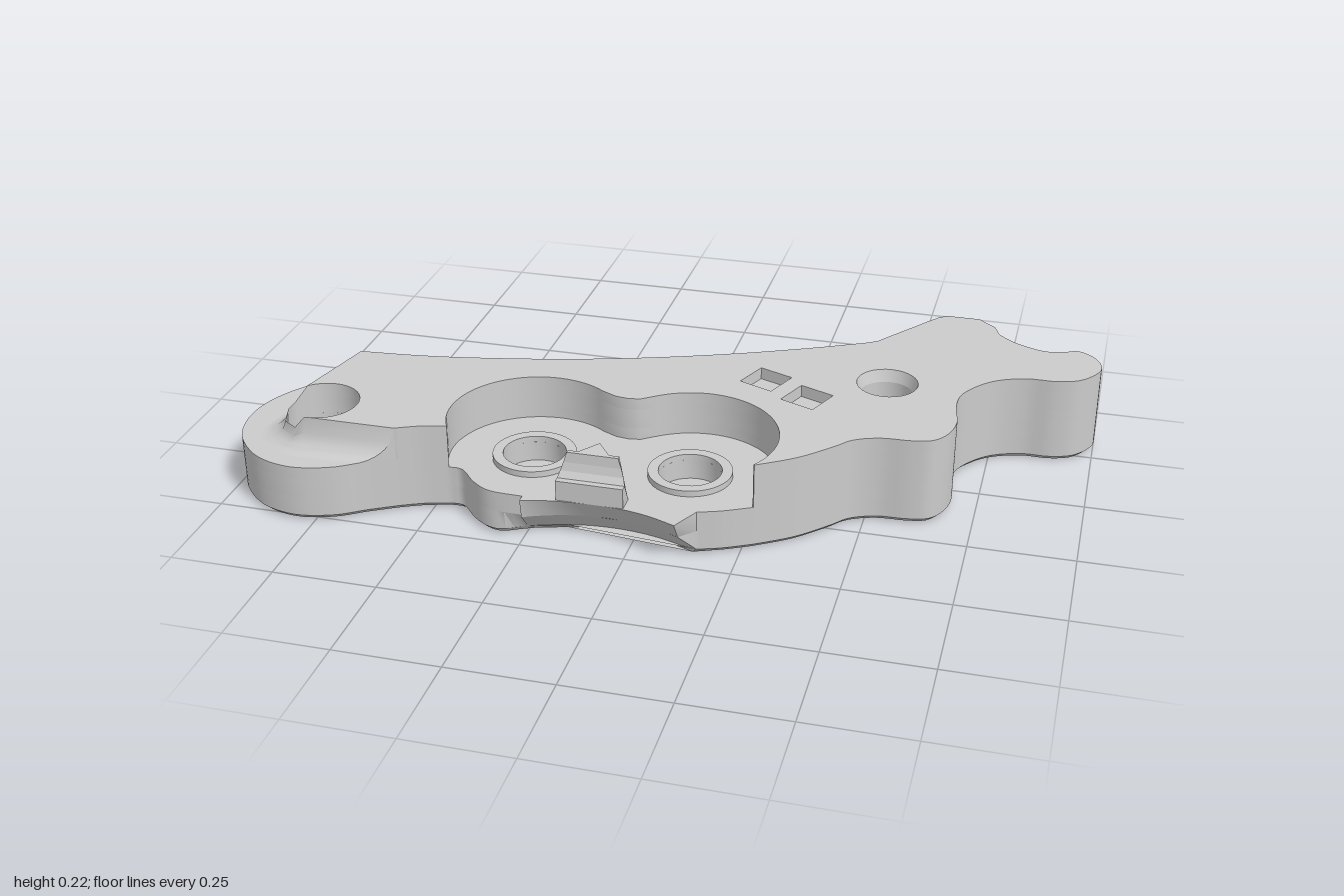
import * as THREE from 'three';
import { toCreasedNormals } from 'three/addons/utils/BufferGeometryUtils.js';

const V = (x, z) => new THREE.Vector2(x, z);
const grey = () => new THREE.MeshStandardMaterial({ color: 0xcccccc, side: THREE.DoubleSide });

// Smooth run through [x, z] pairs
const run = (pts) => new THREE.SplineCurve(pts.map(p => V(...p))).getPoints((pts.length - 1) * 5);

const arc = (cx, cz, r, a, b, n = 32) => Array.from({ length: n + 1 }, (_, i) => {
  const t = a + (b - a) * i / n;
  return V(cx + r * Math.cos(t), cz + r * Math.sin(t));
});

// Join runs into a closed loop without repeated points
const join = (...runs) => runs.flat().filter((p, i, all) => p.distanceTo(all[(i + 1) % all.length]) > 1e-4);

// Outline sections
const endCap = run([[-0.81, 0.055], [-0.87, 0.073], [-0.93, 0.12], [-0.98, 0.2], [-1, 0.28], [-0.993, 0.36],
  [-0.96, 0.43], [-0.89, 0.495], [-0.8, 0.52], [-0.71, 0.5], [-0.64, 0.457], [-0.575, 0.42]]);
const neck = run([[-0.575, 0.42], [-0.52, 0.395], [-0.46, 0.378]]);
const frontLobe = run([[-0.46, 0.378], [-0.425, 0.382], [-0.38, 0.43], [-0.33, 0.46], [-0.25, 0.465]]);
const frontArc = run([[-0.25, 0.485], [-0.17, 0.468], [-0.06, 0.463], [0.04, 0.476], [0.12, 0.505]]);
const frontSide = run([[0.155, 0.435], [0.21, 0.415], [0.275, 0.382]]);
const tail = run([[0.275, 0.382], [0.36, 0.325], [0.43, 0.255], [0.47, 0.21], [0.53, 0.185], [0.6, 0.18], [0.65, 0.165],
  [0.68, 0.12], [0.69, 0.06], [0.68, 0], [0.68, -0.07], [0.71, -0.13], [0.76, -0.18], [0.83, -0.207], [0.9, -0.21],
  [0.96, -0.235], [1, -0.3], [0.985, -0.36], [0.94, -0.395], [0.9, -0.38], [0.85, -0.375], [0.78, -0.405], [0.735, -0.445]]);
const tailTip = [V(0.72, -0.485), V(0.675, -0.525), V(0.6, -0.525), V(0.575, -0.515), V(0.555, -0.49), V(0.44, -0.33)];
const back = run([[0.42, -0.315], [0.28, -0.245], [0.1, -0.165], [-0.1, -0.09], [-0.3, -0.03], [-0.5, 0.015], [-0.65, 0.04], [-0.81, 0.055]]);

// Two-lobed pocket wall and the edge of the stepped-down end
const pocket = [...arc(-0.28, 0.28, 0.205, 2.64, 5.35), V(-0.12, 0.134), V(-0.09, 0.138), V(-0.06, 0.134),
  ...arc(0.1, 0.27, 0.205, -2.21, 0.57)];
const stepEdge = [V(-0.81, 0.055), ...arc(-0.795, 0.33, 0.09, -2.4, 1.6), V(-0.575, 0.42)];

const fullLoop = join(endCap, neck, frontLobe, frontArc, frontSide, tail, tailTip, back);
const midLoop = join(endCap, neck, pocket, tail, tailTip, back);
const topLoop = join(stepEdge, neck, pocket, tail, tailTip, back);

const endHole = arc(-0.795, 0.33, 0.09, 0, Math.PI * 2).slice(1);
const tailHole = arc(0.5, -0.1, 0.065, 0, Math.PI * 2).slice(1);
const wells = [[-0.28, 0.28], [0.1, 0.275]];
const wellHoles = wells.map(([x, z]) => arc(x, z, 0.075, 0, Math.PI * 2).slice(1));
const squares = [[0.21, -0.045], [0.325, 0.025]].map(([x, z]) =>
  arc(x, z, 0.064, 0.39 + Math.PI / 4, 0.39 + Math.PI * 2.25, 4).slice(1));

// Plan loop with holes extruded from y0 to y1; rule(v) may move vertices
function slab(loop, holes, y0, y1, rule) {
  const flip = (pts) => pts.map(p => V(p.x, -p.y));
  const shape = new THREE.Shape(flip(loop));
  shape.holes = holes.map(h => new THREE.Path(flip(h)));
  const geo = new THREE.ExtrudeGeometry(shape, { depth: y1 - y0, bevelEnabled: false });
  geo.rotateX(-Math.PI / 2).translate(0, y0, 0);
  if (rule) {
    const pos = geo.attributes.position, v = new THREE.Vector3();
    for (let i = 0; i < pos.count; i++) {
      rule(v.fromBufferAttribute(pos, i));
      pos.setXYZ(i, v.x, v.y, v.z);
    }
  }
  return toCreasedNormals(geo, 0.55);
}

// Chamfer of the bottom edge, then the conical undercut along the front arc
function lowerRule(v) {
  if (v.y < 0.001) {
    const n = fullLoop.length;
    const i = fullLoop.findIndex(p => Math.hypot(p.x - v.x, p.y - v.z) < 1e-4);
    if (i >= 0) {
      const d = fullLoop[(i + 1) % n].clone().sub(fullLoop[(i + n - 1) % n]).normalize();
      v.x -= d.y * -0.012;
      v.z -= d.x * 0.012;
    }
  }
  if (v.x > -0.4 && v.x < 0.16 && v.z > 0.36) {
    const r = 0.39 + 0.08 * Math.max(0, 1 - v.y / 0.1);
    v.z = Math.min(v.z, 0.853 - Math.sqrt(r * r - (v.x + 0.06) ** 2));
  }
}

// Countersink of the tail hole
function sinkRule(v) {
  if (v.y > 0.21 && Math.hypot(v.x - 0.5, v.z + 0.1) < 0.07) {
    v.x = 0.5 + (v.x - 0.5) * 1.15;
    v.z = -0.1 + (v.z + 0.1) * 1.15;
  }
}

// Concave fillet between the step edge and the lowered end
function filletGeometry() {
  // inner x, z, outer x, z, top height
  const stations = [[-0.81, 0.055, -0.875, 0.078, 0.22], [-0.86, 0.27, -0.925, 0.28, 0.22],
    [-0.88, 0.3, -0.935, 0.33, 0.19], [-0.885, 0.33, -0.94, 0.36, 0.185], [-0.87, 0.38, -0.92, 0.42, 0.18],
    [-0.83, 0.413, -0.86, 0.46, 0.185], [-0.8, 0.42, -0.8, 0.475, 0.22], [-0.575, 0.42, -0.66, 0.47, 0.22]];
  const flat = (s) => [...s.slice(0, 4), 0.14];
  const rows = [flat(stations[0]), ...stations, flat(stations[7])];
  const pos = [], index = [], n = 8;
  rows.forEach(([ix, iz, ox, oz, h], r) => {
    pos.push(ix, 0.14, iz);
    for (let k = 0; k <= n; k++) {
      const t = k / n;
      pos.push(ix + (ox - ix) * t, 0.14 + (h - 0.14) * (1 - Math.sqrt(1 - (1 - t) ** 2)), iz + (oz - iz) * t);
    }
    if (r) for (let k = 0; k <= n; k++) {
      const a = (r - 1) * (n + 2) + k, b = a + n + 2;
      index.push(a, a + 1, b, b, a + 1, b + 1);
    }
  });
  const geo = new THREE.BufferGeometry();
  geo.setAttribute('position', new THREE.Float32BufferAttribute(pos, 3));
  geo.setIndex(index);
  return toCreasedNormals(geo, 0.6);
}

// Ramped foot of the catch, narrowing towards the top
function catchGeometry() {
  const profile = [[0.42, 0.11], [0.463, 0.11], [0.463, 0.16], [0.447, 0.16], [0.437, 0.175], [0.432, 0.195], [0.43, 0.22], [0.42, 0.22]];
  const geo = new THREE.ExtrudeGeometry(new THREE.Shape(profile.map(p => V(...p))), { depth: 0.16, bevelEnabled: false });
  geo.rotateY(-Math.PI / 2).translate(0.08, 0, 0);
  const pos = geo.attributes.position;
  for (let i = 0; i < pos.count; i++) {
    const narrow = 1 - Math.max(0, pos.getY(i) - 0.16) * 4;
    pos.setX(i, pos.getX(i) * narrow - 0.09);
  }
  geo.computeVertexNormals();
  return geo;
}

export function createModel() {
  const model = new THREE.Group();
  const add = (name, geo) => {
    const mesh = new THREE.Mesh(geo, grey());
    mesh.name = name;
    model.add(mesh);
    return mesh;
  };

  // Plate body, from the bottom up
  const through = [endHole, tailHole];
  add('bottomPlate', slab(fullLoop, through, 0, 0.012, lowerRule));
  add('lowerPlate', slab(fullLoop, through, 0.012, 0.06, lowerRule));
  add('pocketFloor', slab(fullLoop, [...through, ...wellHoles], 0.06, 0.11, lowerRule));
  add('middlePlate', slab(midLoop, through, 0.11, 0.14));
  add('upperPlate', slab(topLoop, [tailHole], 0.14, 0.19));
  add('topPlate', slab(topLoop, [tailHole, ...squares], 0.19, 0.22, sinkRule));
  add('endFillet', filletGeometry());

  // Raised rims around the wells
  for (const [x, z] of wells) {
    const rim = [V(0.075, 0.1), V(0.075, 0.125), V(0.1, 0.125), V(0.1, 0.105)];
    add('wellRim', toCreasedNormals(new THREE.LatheGeometry(rim, 40), 0.5)).position.set(x, 0, z);
  }

  // Catch at the front of the pocket
  add('catchFoot', catchGeometry());
  add('catchSpike', slab([V(-0.09, 0.37), V(-0.13, 0.425), V(-0.05, 0.425)], [], 0.11, 0.22));
  return model;
}
